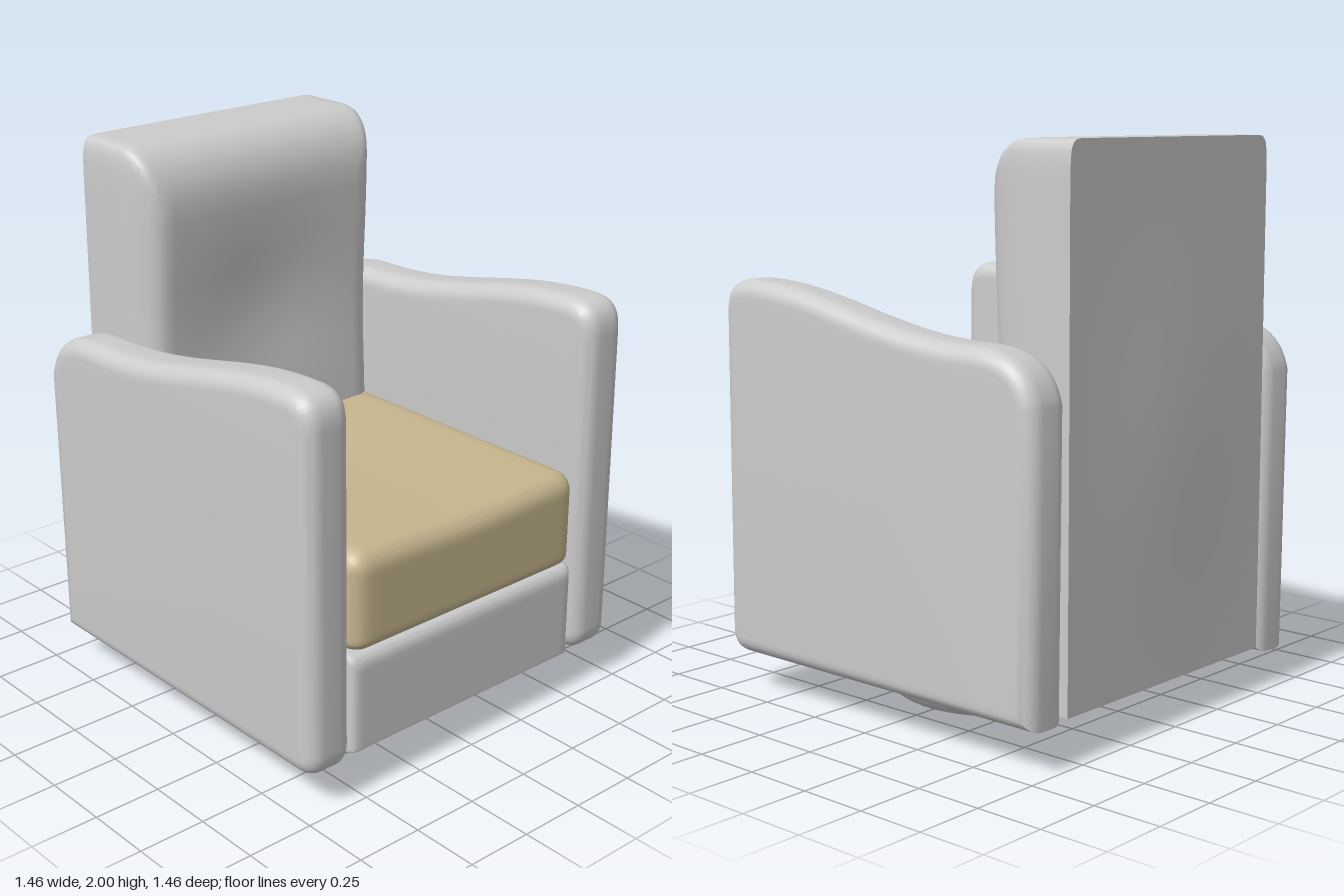
import * as THREE from 'three';
import { mergeVertices, toCreasedNormals } from 'three/addons/utils/BufferGeometryUtils.js';

const grey = new THREE.MeshStandardMaterial({ color: 0xcccccc });
const tan = new THREE.MeshStandardMaterial({ color: 0xc6b68e });

function part(name, geometry, material = grey) {
  const mesh = new THREE.Mesh(geometry, material);
  mesh.name = name;
  return mesh;
}

// Box between two corners with its own edge radius on every side.
// power: 2 = round outline in x/y, larger = squarer outline.
// bulge(p): extra displacement of each point.
function softBox(min, max, rMin, rMax, power, bulge) {
  let g = new THREE.BoxGeometry(2, 2, 2, 28, 28, 28);
  g.deleteAttribute('uv');
  g.deleteAttribute('normal');
  g = mergeVertices(g);
  const pos = g.attributes.position;
  for (let i = 0; i < pos.count; i++) {
    const c = [], o = [], r = [];
    for (let a = 0; a < 3; a++) {
      // gather the grid lines near the edges
      const t = Math.sin(pos.getComponent(i, a) * Math.PI / 2);
      const v = THREE.MathUtils.lerp(min[a], max[a], (t + 1) / 2);
      const lo = min[a] + rMin[a], hi = max[a] - rMax[a];
      c[a] = Math.min(Math.max(v, lo), hi);
      r[a] = v < lo ? rMin[a] : rMax[a];
      o[a] = r[a] > 0 ? (v - c[a]) / r[a] : 0;
    }
    const xy = Math.pow(Math.abs(o[0]) ** power + Math.abs(o[1]) ** power, 1 / power);
    const len = Math.hypot(xy, o[2]);
    const s = len > 0 ? Math.max(...o.map(Math.abs)) / len : 0;
    const p = new THREE.Vector3(...c.map((v, a) => v + o[a] * s * r[a]));
    bulge?.(p);
    pos.setXYZ(i, p.x, p.y, p.z);
  }
  return toCreasedNormals(g, 0.7);
}

const bump = (v, centre, width) => Math.exp(-(((v - centre) / width) ** 2));

// Arm side outline (z, y), extruded across with rounded edges
function armGeometry() {
  const s = new THREE.Shape();
  s.moveTo(-0.72, 0.145);
  s.lineTo(0.65, 0.145);
  s.quadraticCurveTo(0.728, 0.15, 0.728, 0.235);
  s.lineTo(0.73, 1.37);
  s.bezierCurveTo(0.73, 1.46, 0.7, 1.5, 0.61, 1.5);
  s.bezierCurveTo(0.25, 1.5, 0.0, 1.36, -0.42, 1.355);
  s.bezierCurveTo(-0.6, 1.36, -0.69, 1.31, -0.722, 1.18);
  const bevel = 0.06, width = 0.186;
  const g = new THREE.ExtrudeGeometry(s, {
    depth: width - 2 * bevel, bevelThickness: bevel, bevelSize: bevel,
    bevelOffset: -bevel, bevelSegments: 8, curveSegments: 16,
  });
  g.rotateY(-Math.PI / 2);
  g.computeBoundingBox();
  g.translate(-(g.boundingBox.min.x + g.boundingBox.max.x) / 2, 0, 0);
  // slight lean to one side
  const pos = g.attributes.position;
  for (let i = 0; i < pos.count; i++) {
    pos.setX(i, pos.getX(i) - 0.008 * (pos.getY(i) - 0.8));
  }
  return toCreasedNormals(g, 0.6);
}

export function createModel() {
  const chair = new THREE.Group();
  chair.name = 'armchair';

  // Hollow ring foot: lower half of an oval tube
  const profile = [];
  for (let i = 0; i <= 20; i++) {
    const a = Math.PI * i / 20;
    profile.push(new THREE.Vector2(0.395 - 0.115 * Math.cos(a), 0.16 - 0.16 * Math.sin(a)));
  }
  const foot = part('ringFoot', new THREE.LatheGeometry(profile, 64));
  foot.scale.z = 0.92;
  chair.add(foot);

  // Seat base and its cushion
  chair.add(part('seatBase', softBox(
    [-0.532, 0.155, -0.35], [0.532, 0.52, 0.715],
    [0.03, 0.012, 0], [0.03, 0.05, 0.04], 4)));
  chair.add(part('seatCushion', softBox(
    [-0.53, 0.52, -0.36], [0.53, 0.89, 0.72],
    [0.07, 0.05, 0], [0.07, 0.075, 0.075], 2,
    (p) => { if (p.y > 0.7) p.y -= 0.014 * bump(p.x, 0, 0.3); }), tan));

  // Backrest: padded front with a shallow hollow, nearly flat back
  chair.add(part('backrest', softBox(
    [-0.535, 0.155, -0.715], [0.535, 2, -0.338],
    [0.09, 0, 0], [0.09, 0.22, 0.17], 6,
    (p) => {
      const middle = bump(p.x, 0, 0.32);
      if (p.z > -0.55) p.z -= 0.03 * middle * bump(p.y, 1.35, 0.3) + 0.016 * bump(p.y, 1.25, 0.35);
      else if (p.z < -0.7) p.z -= 0.015 * middle * bump(p.y, 1.0, 0.5);
    })));

  // Arms, the right one sitting a little lower
  const arm = armGeometry();
  const leftArm = part('leftArm', arm);
  leftArm.position.x = 0.634;
  const rightArm = part('rightArm', arm);
  rightArm.position.set(-0.634, -0.016, 0);
  chair.add(leftArm, rightArm);

  return chair;
}
